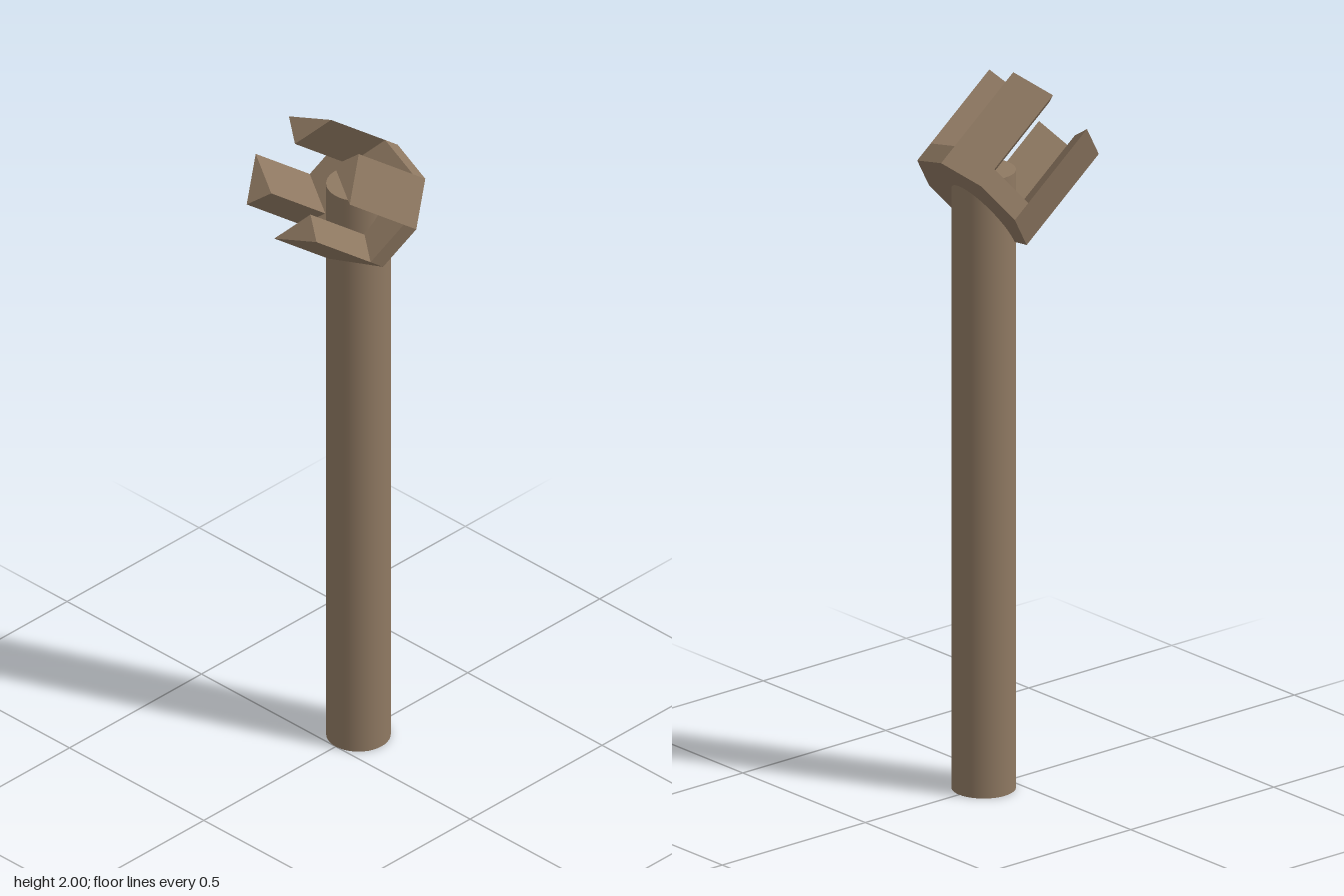
import * as THREE from 'three';

const wood = new THREE.MeshStandardMaterial({ color: 0x8f7962 });
wood.name = 'brown';

// straight prism along +z from a list of corner points
function prism(points, z0, z1) {
  const shape = new THREE.Shape(points.map(([x, y]) => new THREE.Vector2(x, y)));
  const geo = new THREE.ExtrudeGeometry(shape, { depth: z1 - z0, bevelEnabled: false });
  return geo.translate(0, 0, z0);
}

export function createModel() {
  const model = new THREE.Group();
  model.name = 'crownHeadedStaff';

  // round upright shaft, its flat top ending inside the head
  const shaft = new THREE.Mesh(new THREE.CylinderGeometry(0.086, 0.086, 1.75, 40), wood);
  shaft.name = 'shaft';
  shaft.position.set(0, 0.875, -0.086);
  model.add(shaft);

  // tilted head, local z is the axis of the crown
  const head = new THREE.Group();
  head.name = 'head';
  head.position.set(0, 1.665, -0.127);
  head.rotation.x = -THREE.MathUtils.degToRad(38);
  model.add(head);

  // eight-sided base plate
  const r = 0.175, d = 0.13, inner = 0.073, thick = 0.06, length = 0.32;
  const corners = [[0, r], [-d, d], [-r, 0], [-d, -d], [0, -r], [d, -d], [r, 0], [d, d]];
  const baseGeo = prism(corners, 0, thick);
  // trim the lowest rear corner
  const pos = baseGeo.attributes.position;
  for (let i = 0; i < pos.count; i++) {
    if (pos.getY(i) < -0.17 && pos.getZ(i) < 0.01) pos.setY(i, -0.155);
  }
  baseGeo.computeVertexNormals();
  const base = new THREE.Mesh(baseGeo, wood);
  base.name = 'headBase';
  head.add(base);

  // four three-sided prongs on every other side of the base
  for (let i = 0; i < 4; i++) {
    const prong = new THREE.Mesh(prism([[0, r], [-d, d], [-inner, inner]], thick, length), wood);
    prong.name = 'prong' + (i + 1);
    prong.rotation.z = i * Math.PI / 2;
    head.add(prong);
  }

  return model;
}
